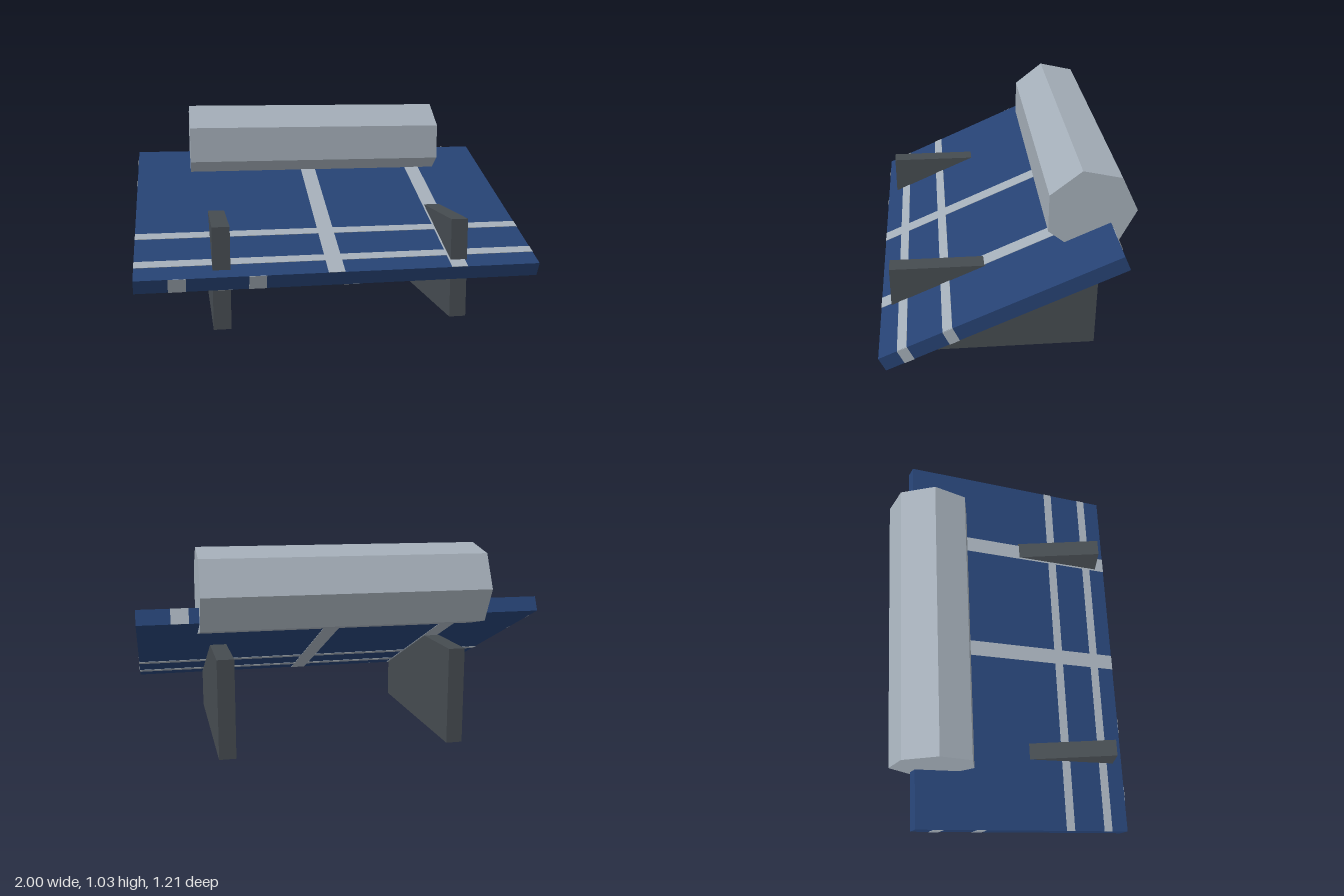
import * as THREE from 'three';

export function createModel() {
  const mat = (name, color) => {
    const m = new THREE.MeshStandardMaterial({ color, flatShading: true });
    m.name = name;
    return m;
  };
  const blue = mat('panelBlue', 0x264273);
  const silver = mat('silverGrey', 0xa4aeb8);
  const dark = mat('darkGrey', 0x454b50);

  const model = new THREE.Group();
  model.name = 'solarWaterHeater';

  const box = (parent, name, material, size, pos) => {
    const mesh = new THREE.Mesh(new THREE.BoxGeometry(...size), material);
    mesh.name = name;
    mesh.position.set(...pos);
    parent.add(mesh);
    return mesh;
  };

  // Upright side supports
  for (const s of [-1, 1]) {
    box(model, s > 0 ? 'leftSupport' : 'rightSupport', dark, [0.085, 0.5, 1.02], [s * 0.59, 0.25, 0.045]);
  }

  // Seven-sided water tank, one edge pointing backwards
  const tankGeo = new THREE.CylinderGeometry(0.217, 0.217, 1.42, 7);
  tankGeo.rotateY(Math.PI).rotateZ(Math.PI / 2);
  const tank = new THREE.Mesh(tankGeo, silver);
  tank.name = 'waterTank';
  tank.position.set(0, 0.82, -0.388);
  model.add(tank);

  // Tilted collector panel
  const W = 2, T = 0.076, L = 1.195;
  const panel = new THREE.Group();
  panel.name = 'collectorPanel';
  panel.position.set(0, 0.48, 0.045);
  panel.rotation.x = THREE.MathUtils.degToRad(24.2);
  model.add(panel);
  box(panel, 'panelSlab', blue, [W, T, L], [0, 0, 0]);

  // Stripes on the two large faces; the underside pattern is mirrored
  const t = 0.004;
  const bands = [0.1, 0.29];
  for (const side of [1, -1]) {
    const y = side * T / 2;
    for (const x of [-0.04, 0.58]) {
      box(panel, 'lengthStripe', silver, [0.082, t, L], [x * side, y, 0]);
    }
    for (const f of bands) {
      box(panel, 'crossStripe', silver, [W, t, 0.048], [0, y, L / 2 - f * L]);
    }
  }

  // Stripe marks on the four narrow edges, running round in the same order
  for (const s of [1, -1]) {
    for (const f of bands) {
      box(panel, 'sideEdgeMark', silver, [t, T, 0.05], [s * W / 2, 0, s * (L / 2 - f * L)]);
      box(panel, 'endEdgeMark', silver, [0.084, T, t], [s * (f * W - W / 2), 0, s * L / 2]);
    }
  }

  return model;
}
